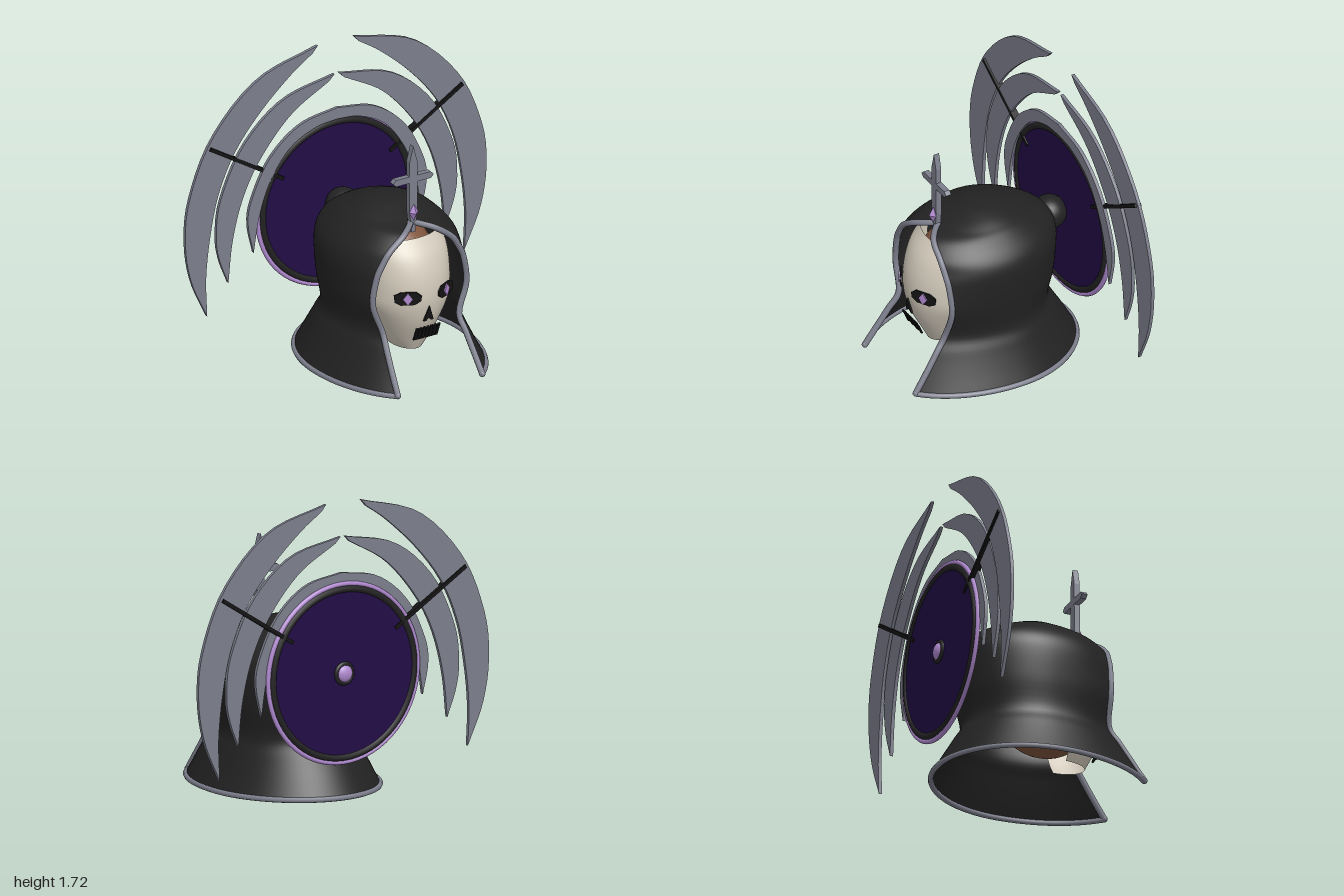
import * as THREE from 'three';

const paint = (name, color, side = THREE.FrontSide) => {
  const m = new THREE.MeshStandardMaterial({ color, side });
  m.name = name;
  return m;
};
const V = (x, y, z = 0) => new THREE.Vector3(x, y, z);
const smooth = (pts) => new THREE.CatmullRomCurve3(pts.map((p) => V(...p)), false, 'catmullrom', 0.5);

// Smooth sheet from a function f(u, v) -> Vector3
function sheet(f, nu, nv) {
  const pos = [], idx = [];
  for (let j = 0; j <= nv; j++) {
    for (let i = 0; i <= nu; i++) {
      pos.push(...f(i / nu, j / nv).toArray());
      if (i < nu && j < nv) {
        const a = j * (nu + 1) + i, c = a + nu + 1;
        idx.push(a, a + 1, c, a + 1, c + 1, c);
      }
    }
  }
  const g = new THREE.BufferGeometry();
  g.setAttribute('position', new THREE.Float32BufferAttribute(pos, 3));
  g.setIndex(idx);
  g.computeVertexNormals();
  return g;
}

// Flat plate cut from an outline, centred in depth on z = 0
function plate(pts, depth) {
  const shape = new THREE.Shape(pts.map((p) => new THREE.Vector2(p[0], p[1])));
  return new THREE.ExtrudeGeometry(shape, { depth, bevelEnabled: false }).translate(0, 0, -depth / 2);
}

// Hood rows: height, half width, back depth
const hoodRows = smooth([
  [0.02, 0.5, 0.575], [0.12, 0.45, 0.52], [0.23, 0.4, 0.455], [0.33, 0.362, 0.405], [0.5, 0.383, 0.44],
  [0.66, 0.392, 0.455], [0.75, 0.38, 0.455], [0.82, 0.34, 0.42], [0.89, 0.27, 0.31],
  [0.92, 0.225, 0.235], [0.95, 0.165, 0.16], [0.973, 0.085, 0.08], [0.98, 0, 0]]);
// Face opening on the same rows: half width, depth
const hoodEdge = smooth([
  [0.28, 0.58], [0.272, 0.51], [0.262, 0.435], [0.255, 0.372], [0.31, 0.36],
  [0.29, 0.365], [0.25, 0.37], [0.2, 0.372], [0.1, 0.355],
  [0, 0.26], [0, 0.16], [0, 0.08], [0, 0]]);
const EDGE_TOP = 9 / 12;

function hoodPoint(u, v) {
  const r = hoodRows.getPoint(v), e = hoodEdge.getPoint(v);
  const a = Math.max(r.y, 0.0005);
  const ex = v >= EDGE_TOP ? 0 : Math.min(Math.max(e.x, 0), a * 0.95);
  const start = Math.asin(ex / a);
  const th = start + u * 2 * (Math.PI - start);
  const front = Math.max(e.y, 0) / Math.cos(start);
  const c = Math.cos(th);
  return V(a * Math.sin(th), r.x, c * (c > 0 ? front : Math.max(r.z, 0)));
}

// Mask rows: height, half width, front depth
const maskRows = smooth([
  [0.15, 0.09, 0.33], [0.22, 0.14, 0.365], [0.34, 0.2, 0.425], [0.45, 0.25, 0.455],
  [0.55, 0.26, 0.46], [0.65, 0.26, 0.445], [0.75, 0.25, 0.405], [0.84, 0.215, 0.335]]);
function maskPoint(u, v) {
  const r = maskRows.getPoint(v), th = (u - 0.5) * Math.PI;
  return V(r.y * Math.sin(th), r.x, 0.18 + (r.z - 0.18) * Math.cos(th));
}

export function createModel() {
  const cloth = paint('black cloth', 0x222222, THREE.DoubleSide);
  const steel = paint('grey steel', 0x7c7e8c);
  const violet = paint('dark violet', 0x220c46);
  const lilac = paint('lilac', 0xb08ad0);
  const bone = paint('bone', 0xd2cabb, THREE.DoubleSide);
  const skin = paint('brown skin', 0x80563f);
  const ink = paint('black ink', 0x141414);

  const model = new THREE.Group();
  const add = (name, geo, mat, x = 0, y = 0, z = 0, parent = model) => {
    const m = new THREE.Mesh(geo, mat);
    m.name = name;
    m.position.set(x, y, z);
    parent.add(m);
    return m;
  };

  // Hood with steel trim round the face and the hem
  add('hood', sheet(hoodPoint, 64, 60), cloth);
  const side = [], hem = [];
  for (let i = 0; i <= 36; i++) side.push(hoodPoint(0, (i / 36) * EDGE_TOP));
  const mirrored = side.slice(0, -1).reverse().map((p) => V(-p.x, p.y, p.z));
  for (let i = 0; i <= 40; i++) hem.push(hoodPoint(i / 40, 0).setY(0.016));
  add('faceTrim', new THREE.TubeGeometry(new THREE.CatmullRomCurve3([...side, ...mirrored]), 140, 0.018, 8), steel);
  add('hemTrim', new THREE.TubeGeometry(new THREE.CatmullRomCurve3(hem), 90, 0.016, 8), steel);
  for (const s of [1, -1]) add('trimEnd', new THREE.SphereGeometry(0.019, 10, 8), steel, s * 0.28, 0.02, 0.58);

  // Head and skull mask
  add('head', new THREE.SphereGeometry(1, 32, 24).scale(0.235, 0.35, 0.32), skin, 0, 0.55, 0.08);
  add('mask', sheet(maskPoint, 32, 28), bone);

  // Eyes
  for (const s of [1, -1]) {
    const eye = new THREE.Group();
    eye.name = s > 0 ? 'leftEye' : 'rightEye';
    eye.position.set(s * 0.125, 0.53, 0.436);
    eye.rotation.y = s * 0.5;
    model.add(eye);
    const socket = [[-0.08, 0.015], [-0.05, 0.04], [0.04, 0.04], [0.08, 0.02], [0.075, -0.02], [0.04, -0.04], [-0.04, -0.038], [-0.075, -0.015]];
    add('socket', plate(socket.map(([x, y]) => [x * s, y]), 0.009), ink, 0, 0, 0, eye);
    add('pupil', plate([[0, 0.038], [-0.028, 0], [0, -0.038], [0.028, 0]], 0.009), lilac, 0, 0, 0.008, eye);
  }

  // Nose and mouth
  add('nose', plate([[0, 0.05], [-0.033, -0.045], [-0.015, -0.045], [0, -0.025], [0.015, -0.045], [0.033, -0.045]], 0.009),
    ink, 0, 0.42, 0.46).rotation.x = 0.15;
  const mouth = new THREE.Group();
  mouth.name = 'mouth';
  mouth.position.set(0, 0.295, 0.43);
  mouth.rotation.x = 0.4;
  model.add(mouth);
  add('jawBand', new THREE.BoxGeometry(0.14, 0.055, 0.009), ink, 0, -0.02, 0, mouth);
  for (let i = -3; i <= 3; i++) {
    const h = i % 2 ? 0.09 : 0.075;
    add('tooth', new THREE.BoxGeometry(0.016, h, 0.009), ink, i * 0.024, 0.048 - h / 2, 0.004, mouth);
  }

  // Brow cross with gem
  const half = [[0.012, 0.86], [0.027, 1.0], [0.025, 1.17], [0.115, 1.17], [0.135, 1.19], [0.115, 1.21], [0.025, 1.21], [0.025, 1.3]];
  add('browCross', plate([...half, [0, 1.395], ...half.slice().reverse().map(([x, y]) => [-x, y])], 0.034), steel, 0, 0, 0.277);
  add('browGem', new THREE.OctahedronGeometry(1).scale(0.03, 0.052, 0.03), lilac, 0, 0.985, 0.297);

  // Disc behind the head
  const cy = 0.73, dz = -0.55;
  add('discMount', new THREE.SphereGeometry(0.102, 24, 16), cloth, 0, cy, -0.465);
  add('disc', new THREE.CylinderGeometry(0.48, 0.48, 0.024, 64).rotateX(Math.PI / 2), violet, 0, cy, dz);
  add('discRim', new THREE.TorusGeometry(0.486, 0.022, 10, 64), cloth, 0, cy, dz);
  add('discEdge', new THREE.TorusGeometry(0.515, 0.014, 8, 64), lilac, 0, cy, dz);
  add('bossRing', new THREE.TorusGeometry(0.055, 0.014, 8, 32), cloth, 0, cy, dz - 0.014);
  add('boss', new THREE.SphereGeometry(1, 24, 16).scale(0.052, 0.052, 0.032), lilac, 0, cy, dz - 0.014);

  // Crescent blades: outer edge, inner edge, depth position
  const blades = [
    ['outerBlade', -0.55,
      [[0.12, 1.72], [0.52, 1.6], [0.82, 1.31], [0.97, 0.97], [1, 0.7], [0.96, 0.45], [0.855, 0.21]],
      [[0.855, 0.21], [0.862, 0.45], [0.835, 0.7], [0.78, 0.95], [0.67, 1.19], [0.5, 1.4], [0.3, 1.58], [0.155, 1.68]]],
    ['middleBlade', -0.541,
      [[0.015, 1.52], [0.36, 1.44], [0.62, 1.22], [0.77, 0.92], [0.8, 0.7], [0.78, 0.55], [0.72, 0.39]],
      [[0.72, 0.39], [0.69, 0.65], [0.62, 0.9], [0.5, 1.12], [0.3, 1.34], [0.05, 1.485]]],
    ['innerBlade', -0.534,
      [[0, 1.31], [0.25, 1.26], [0.45, 1.1], [0.57, 0.87], [0.593, 0.72], [0.556, 0.54]],
      [[0.556, 0.54], [0.52, 0.75], [0.45, 0.95], [0.32, 1.13], [0.15, 1.22], [0, 1.24]]]];
  for (const s of [1, -1]) {
    for (const [name, z, outer, inner] of blades) {
      const edge = [...smooth(outer).getPoints(28), ...smooth(inner).getPoints(28).slice(1)];
      add(name, plate(edge.map((p) => [p.x * s, p.y]), 0.02), steel, 0, 0, z);
    }
    // Strut tying the blades to the disc
    const strut = add('bladeStrut', new THREE.BoxGeometry(0.57, 0.022, 0.042), ink, s * 0.595, 1.1, -0.549);
    strut.rotation.z = s * 0.555;
  }
  return model;
}
